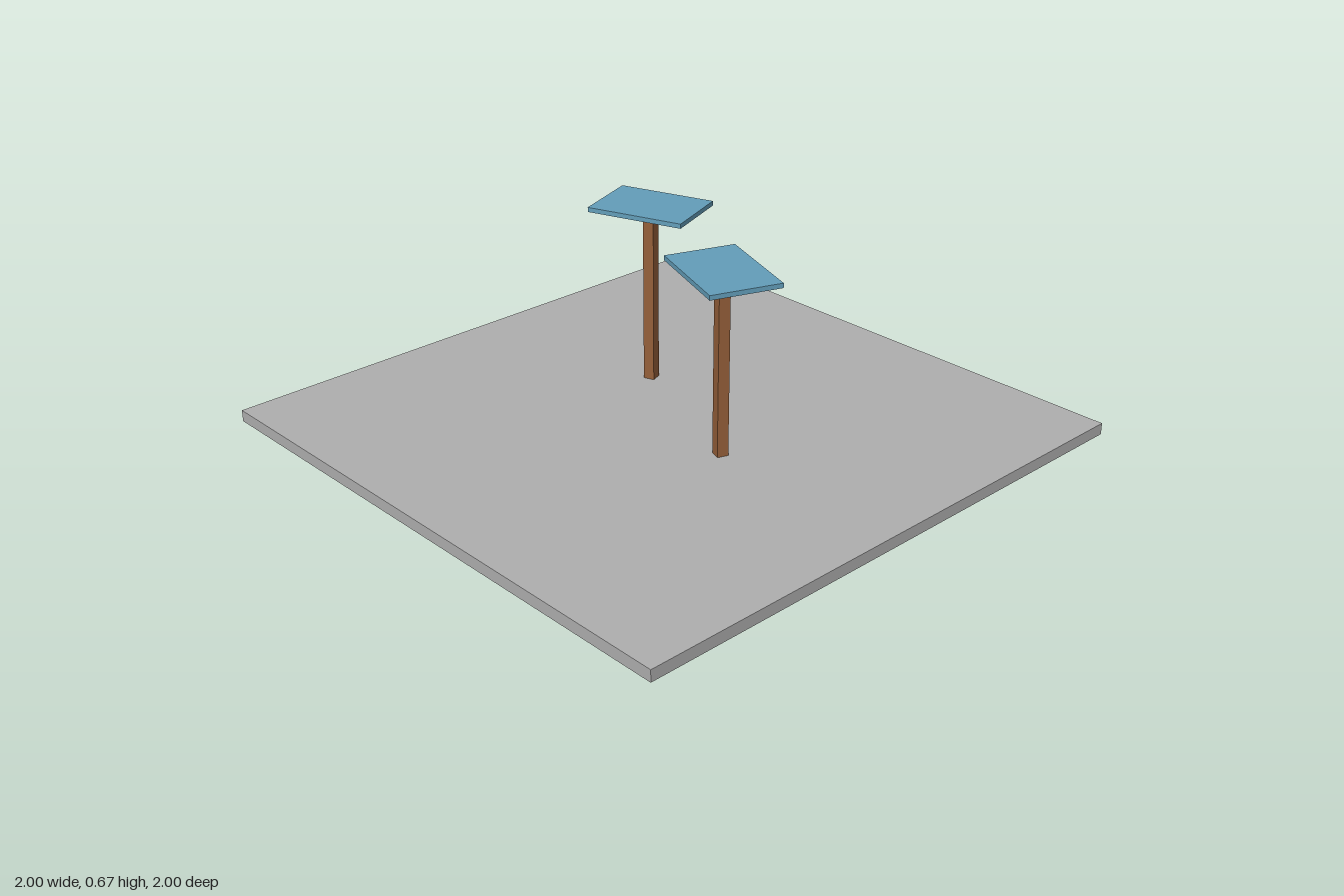
import * as THREE from 'three';

const material = (name, color) => {
  const m = new THREE.MeshStandardMaterial({ color });
  m.name = name;
  return m;
};

function box(name, w, h, d, bottom, mat) {
  const mesh = new THREE.Mesh(new THREE.BoxGeometry(w, h, d), mat);
  mesh.name = name;
  mesh.position.y = bottom + h / 2;
  return mesh;
}

export function createModel() {
  const stone = material('grey stone', 0xb0b0b0);
  const wood = material('brown wood', 0x96603a);
  const blue = material('panel blue', 0x649fbb);

  const model = new THREE.Group();
  model.name = 'panelsOnPosts';

  // Square ground slab
  model.add(box('base', 2, 0.04, 2, 0, stone));

  // Two turned posts, each with a flat panel just above its top
  const stands = [
    ['rightStand', -0.262, -0.163, 20],
    ['leftStand', 0.298, 0.057, -20],
  ];
  for (const [name, x, z, degrees] of stands) {
    const stand = new THREE.Group();
    stand.name = name;
    stand.position.set(x, 0, z);
    stand.rotation.y = THREE.MathUtils.degToRad(degrees);
    stand.add(box('post', 0.038, 0.6, 0.038, 0.04, wood));
    stand.add(box('panel', 0.34, 0.016, 0.24, 0.655, blue));
    model.add(stand);
  }
  return model;
}
